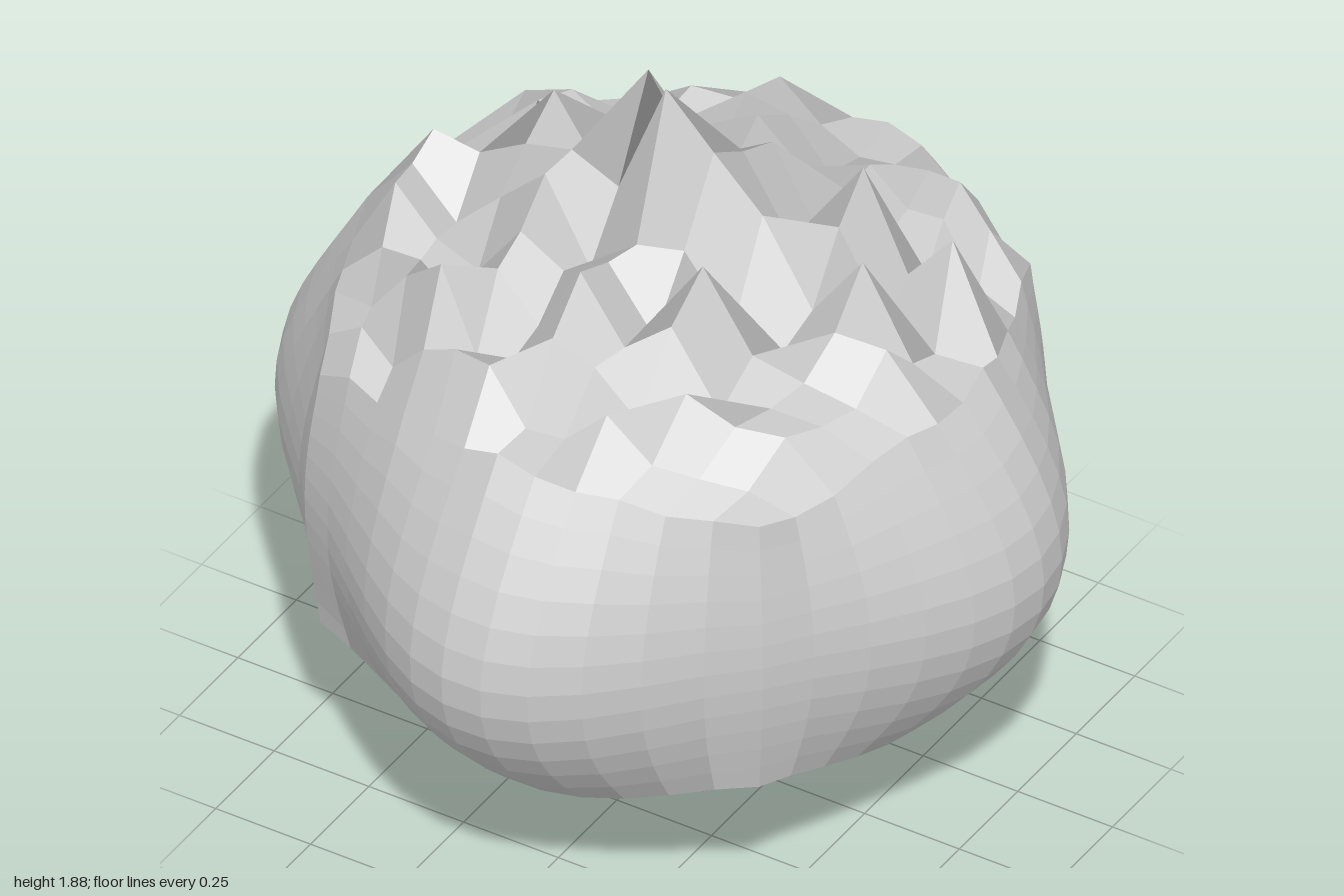
import * as THREE from 'three';

const N = 12, H = N / 2;
const LEAN = 0.07; // the bulges sit slightly toward +x
const { lerp } = THREE.MathUtils;

// Lower rim reach, mid bulge and height shift of each flank
const flanks = [
  { name: 'frontFlank', rim: 0.15, bulge: 0.235, sag: -0.08 },
  { name: 'leftFlank', rim: 0.12, bulge: 0.22, sag: -0.05 },
  { name: 'backFlank', rim: 0.11, bulge: 0.24, sag: -0.06 },
  { name: 'rightFlank', rim: 0.19, bulge: 0.205, sag: -0.16 },
];

// Rounded hump over -1..1, zero at both ends, with its summit moved by shift
const bell = (t, shift = 0) =>
  Math.max(0, Math.cos((t - shift * (1 - t * t)) * Math.PI / 2)) ** 1.2;

// Repeatable value in 0..1 for a lattice point
const hash = (i, k) => {
  const s = Math.sin(i * 127.1 + k * 311.7 + 4.2) * 43758.5453;
  return s - Math.floor(s);
};

// Tallest crags and hollows around them as [column, row, height]
const peaks = [
  [0, 0, 1.88], [-1, -1, 1.8], [-1, 0, 1.55], [0, -1, 1.6], [1, 0, 1.75], [0, 1, 1.52],
  [-3, -1, 1.64], [-3, 4, 1.53], [0, 3, 1.6], [3, -2, 1.64], [5, -2, 1.54], [2, 0, 1.62],
  [1, -2, 1.61], [-5, 0, 1.49], [-2, 1, 1.61], [-2, 3, 1.5], [2, 2, 1.63], [1, -1, 1.67],
  [0, -3, 1.55], [4, 0, 1.58], [0, 2, 1.55], [-5, 2, 1.48], [5, 1, 1.44],
  [0, -4, 1.46], [1, 4, 1.45], [-1, 4, 1.38], [3, 4, 1.44], [-4, -3, 1.46],
  [1, 5, 1.32], [-2, 5, 1.43], [2, 5, 1.42], [5, 4, 1.36],
];

// Height of the craggy crown at a lattice point
function crownHeight(i, k) {
  const peak = peaks.find((p) => p[0] === i && p[1] === k);
  if (peak) return peak[2];
  const a = bell(i / H), b = bell(k / H);
  const base = 1.18 + 0.09 * (a + b - a * b) + 0.14 * a * b;
  const rim = Math.max(Math.abs(i), Math.abs(k)) === H;
  return base + hash(i, k) ** 1.5 * (rim ? 0.05 : 0.15 + 0.12 * a * b);
}

// Square patch of flat four-sided facets, placed by a rule of u, v in -1..1
function patch(name, rule, material) {
  const positions = [], normals = [], index = [];
  const at = (i, j) => new THREE.Vector3(...rule(i / H - 1, j / H - 1));
  for (let j = 0; j < N; j++) {
    for (let i = 0; i < N; i++) {
      const q = [at(i, j), at(i + 1, j), at(i + 1, j + 1), at(i, j + 1)];
      const normal = q[2].clone().sub(q[0]).cross(q[3].clone().sub(q[1])).normalize();
      const n = positions.length / 3;
      q.forEach((p) => { positions.push(...p); normals.push(...normal); });
      index.push(n, n + 1, n + 2, n, n + 2, n + 3);
    }
  }
  const geometry = new THREE.BufferGeometry();
  geometry.setAttribute('position', new THREE.Float32BufferAttribute(positions, 3));
  geometry.setAttribute('normal', new THREE.Float32BufferAttribute(normals, 3));
  geometry.setIndex(index);
  const mesh = new THREE.Mesh(geometry, material);
  mesh.name = name;
  return mesh;
}

export function createModel() {
  const group = new THREE.Group();
  group.name = 'craggyRock';
  const material = new THREE.MeshStandardMaterial({ color: 0xcccccc });

  // Four bulging flanks, each a quarter turn apart
  flanks.forEach(({ name, rim, bulge, sag }, q) => {
    const c = Math.round(Math.cos(q * Math.PI / 2)), s = Math.round(Math.sin(q * Math.PI / 2));
    group.add(patch(name, (u, v) => {
      const a = bell(u, LEAN * c), b = bell(v, sag) ** 0.8, i = Math.round(u * H);
      const low = 0.49 - 0.11 * a, smoothTop = 1.21 + 0.09 * a;
      const rough = crownHeight(i * c + H * s, -i * s + H * c) - smoothTop;
      const t = (v + 1) / 2;
      const y = lerp(low, smoothTop, t) + rough * t ** 5;
      const corner = 0.58 + 0.025 * bell(v);
      const x = u * corner;
      const z = corner + a * (lerp(rim, 0.18, t) + bulge * b);
      return [x * c + z * s, y, -x * s + z * c];
    }, material));
  });

  // Jagged crown
  group.add(patch('craggyCrown', (u, v) => {
    const a = bell(u, LEAN), b = bell(v);
    const x = u * (0.58 + 0.18 * b), z = -v * (0.58 + 0.18 * a) + 0.04 * a * b;
    return [x, crownHeight(Math.round(u * H), Math.round(-v * H)), z];
  }, material));

  // Rounded, tapering underside that meets each flank's lower rim
  const [front, left, back, right] = flanks;
  group.add(patch('underside', (u, v) => {
    const a = bell(u, LEAN), b = bell(v);
    const y = 0.49 - 0.11 * (a + b - a * b) - 0.38 * (a * b) ** 1.2;
    const x = u * (0.58 + (u > 0 ? left : right).rim * b);
    const z = v * (0.58 + (v > 0 ? front : back).rim * a);
    return [x, Math.max(0, y), z];
  }, material));

  return group;
}
